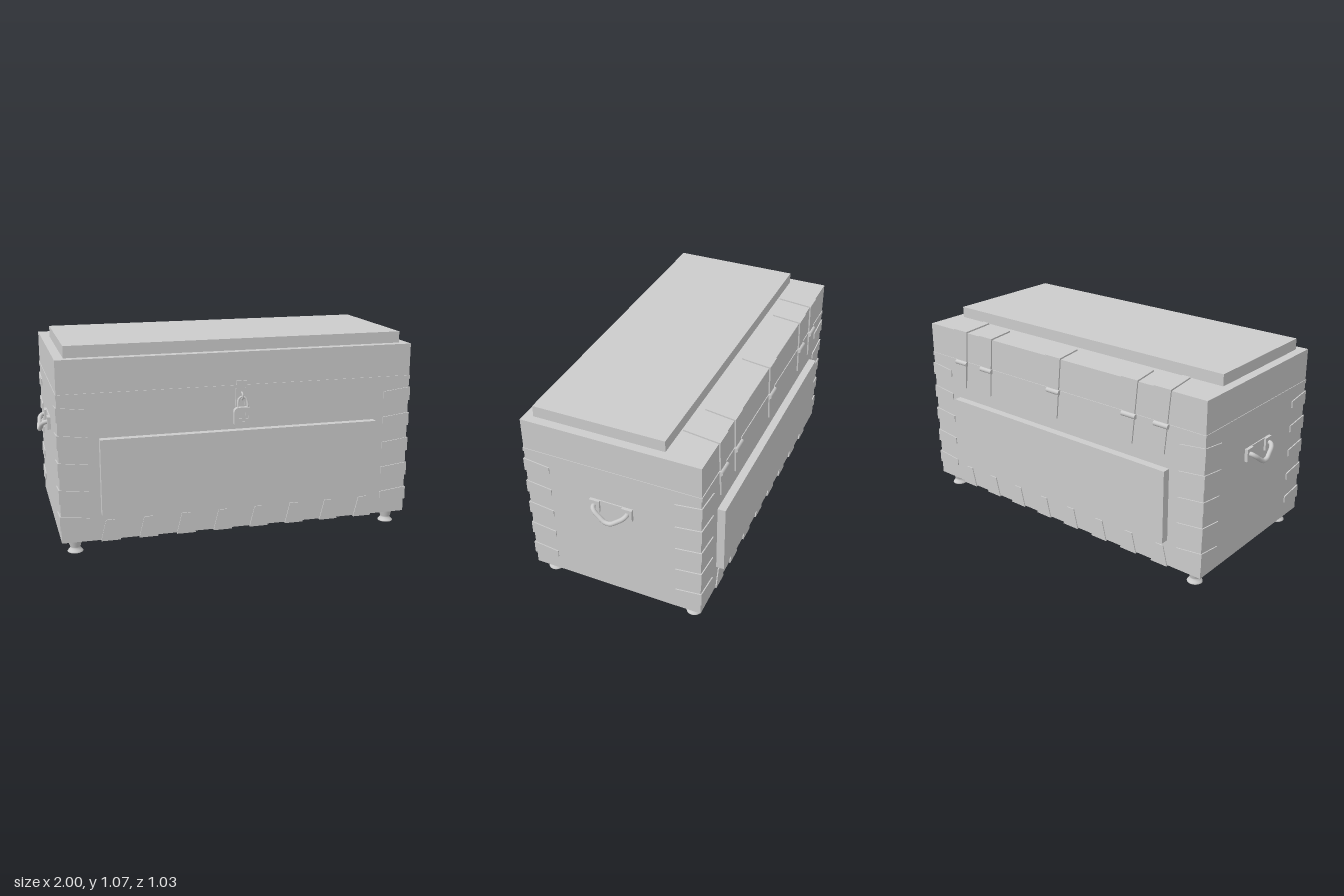
import * as THREE from 'three';

const W = 0.937, D = 0.47, Y0 = 0.07, Y1 = 1.005;   // half width, half depth, floor, lid top
const mat = new THREE.MeshStandardMaterial({ color: 0xcccccc });
const V = (x, y, z) => new THREE.Vector3(x, y, z);

export function createModel() {
  const chest = new THREE.Group();
  chest.name = 'chest';

  const add = (name, geo, parent = chest) => {
    const mesh = new THREE.Mesh(geo, mat);
    mesh.name = name;
    parent.add(mesh);
    return mesh;
  };
  // box given by its minimum and maximum on each axis
  const box = (name, x0, x1, y0, y1, z0, z1, parent) => {
    const m = add(name, new THREE.BoxGeometry(x1 - x0, y1 - y0, z1 - z0), parent);
    m.position.set((x0 + x1) / 2, (y0 + y1) / 2, (z0 + z1) / 2);
    return m;
  };
  // tapered plate lying on a face: starts at an edge, runs along dir, raised along normal
  const arm = (name, start, dir, normal, w0, w1, len, t, parent) => {
    const s = new THREE.Shape([
      new THREE.Vector2(-t, -w0 / 2), new THREE.Vector2(len, -w1 / 2),
      new THREE.Vector2(len, w1 / 2), new THREE.Vector2(-t, w0 / 2)]);
    const m = add(name, new THREE.ExtrudeGeometry(s, { depth: t, bevelEnabled: false }), parent);
    const side = new THREE.Vector3().crossVectors(normal, dir);
    m.applyMatrix4(new THREE.Matrix4().makeBasis(dir, side, normal).setPosition(start));
  };

  // Body, lid and raised panels
  box('body', -W, W, Y0, 0.82, -D, D);
  box('lid', -W, W, 0.82, Y1, -D, D);
  box('lidRim', -W - 0.003, W + 0.003, 0.815, 0.835, -D - 0.004, D + 0.004);
  box('topPanel', -0.89, 0.89, Y1 - 0.01, 1.065, -0.27, 0.423);
  box('frontPanel', -0.735, 0.735, 0.212, 0.605, D - 0.01, 0.51);
  box('backPanel', -0.735, 0.735, 0.212, 0.605, -0.512, -D + 0.01);

  // Corner brackets wrapping each vertical edge
  for (const sx of [-1, 1]) for (const sz of [-1, 1]) for (let i = 0; i < 5; i++) {
    const g = new THREE.Group();
    g.name = 'cornerBracket';
    chest.add(g);
    const p = V(sx * W, 0.175 + i * 0.14, sz * D);
    arm('sideArm', p, V(0, 0, -sz), V(sx, 0, 0), 0.073, 0.037, 0.135, 0.006, g);
    arm('faceArm', p, V(-sx, 0, 0), V(0, 0, sz), 0.073, 0.037, 0.145, 0.006, g);
  }

  // Straps wrapping the lower long edges
  for (const sz of [-1, 1]) for (let i = 0; i < 8; i++) {
    const g = new THREE.Group();
    g.name = 'bottomStrap';
    chest.add(g);
    const p = V(-0.69 + i * 1.38 / 7, Y0, sz * D);
    arm('faceArm', p, V(0, 1, 0), V(0, 0, sz), 0.1, 0.045, 0.105, 0.006, g);
    arm('underArm', p, V(0, 0, -sz), V(0, -1, 0), 0.1, 0.045, 0.19, 0.006, g);
  }

  // Hinges: strap over the lid's back edge and a knuckle at the seam
  for (const x of [-0.69, -0.495, 0, 0.495, 0.69]) {
    const g = new THREE.Group();
    g.name = 'hinge';
    chest.add(g);
    const p = V(x, Y1, -D);
    arm('topStrap', p, V(0, 0, 1), V(0, 1, 0), 0.1, 0.045, Math.abs(x) > 0.6 ? 0.19 : 0.16, 0.008, g);
    arm('backStrap', p, V(0, -1, 0), V(0, 0, -1), 0.1, 0.035, 0.33, 0.008, g);
    const k = add('knuckle', new THREE.CylinderGeometry(0.013, 0.013, 0.085, 16), g);
    k.rotation.z = Math.PI / 2;
    k.position.set(x, 0.825, -D - 0.009);
  }

  // Turned feet
  const foot = new THREE.LatheGeometry([
    [0, 0], [0.04, 0], [0.04, 0.003], [0.035, 0.01], [0.025, 0.02],
    [0.027, 0.028], [0.033, 0.05], [0.038, 0.068], [0.038, 0.074], [0, 0.074]
  ].map(([x, y]) => new THREE.Vector2(x, y)), 24);
  for (const sx of [-1, 1]) for (const sz of [-1, 1])
    add('foot', foot).position.set(sx * 0.865, 0, sz * 0.406);

  // Side handles: mounting plate, two lugs and a drooping grip
  for (const s of [-1, 1]) {
    const g = new THREE.Group();
    g.name = s > 0 ? 'leftHandle' : 'rightHandle';
    g.rotation.y = s > 0 ? 0 : Math.PI;
    chest.add(g);
    box('plate', W - 0.01, 0.943, 0.573, 0.64, -0.115, 0.115, g);
    for (const q of [-1, 1])
      box('lug', W, 0.954, 0.573, 0.64, q * 0.0875 - 0.0275, q * 0.0875 + 0.0275, g);
    const path = new THREE.CatmullRomCurve3([
      [0.94, 0.61, 0.09], [0.965, 0.609, 0.089], [0.978, 0.597, 0.076], [0.984, 0.573, 0.045],
      [0.988, 0.555, 0.016], [0.988, 0.555, -0.016], [0.984, 0.573, -0.045],
      [0.978, 0.597, -0.076], [0.965, 0.609, -0.089], [0.94, 0.61, -0.09]
    ].map(p => V(...p)));
    add('grip', new THREE.TubeGeometry(path, 48, 0.012, 12), g);
  }

  // Hasp: plates on lid and body, with a staple
  const lock = new THREE.Group();
  lock.name = 'lockSet';
  chest.add(lock);
  box('haspTop', -0.028, 0.028, 0.815, 0.857, D, 0.479, lock);
  box('haspPlate', -0.034, 0.034, 0.69, 0.815, D, 0.476, lock);
  for (const s of [-1, 1])
    box('haspSide', s * 0.024 - 0.008, s * 0.024 + 0.008, 0.73, 0.82, 0.474, 0.481, lock);
  const staple = add('staple', new THREE.TorusGeometry(0.018, 0.005, 8, 20), lock);
  staple.rotation.y = Math.PI / 2;
  staple.position.set(0, 0.778, 0.478);

  // Padlock body with a cross-shaped keyhole, and its shackle
  const r = 0.018, w = 0.05, b = 0.625, t = 0.725;
  const shape = new THREE.Shape();
  shape.moveTo(-w + r, b);
  shape.lineTo(w - r, b);
  shape.quadraticCurveTo(w, b, w, b + r);
  shape.lineTo(w, t - 0.03);
  shape.quadraticCurveTo(w, t, w - 0.03, t);
  shape.lineTo(-w + 0.03, t);
  shape.quadraticCurveTo(-w, t, -w, t - 0.03);
  shape.lineTo(-w, b + r);
  shape.quadraticCurveTo(-w, b, -w + r, b);
  const back = add('padlockBack', new THREE.ExtrudeGeometry(shape, { depth: 0.018, bevelEnabled: false }), lock);
  back.position.z = 0.487;
  const a = 0.008, c = 0.025;
  const cross = [[a, c], [a, a], [c, a], [c, -a], [a, -a], [a, -c],
    [-a, -c], [-a, -a], [-c, -a], [-c, a], [-a, a], [-a, c]];
  const face = shape.clone();
  face.holes.push(new THREE.Path(cross.map(([x, y]) => new THREE.Vector2(x, y + 0.674))));
  const front = add('padlockFace', new THREE.ExtrudeGeometry(face, { depth: 0.008, bevelEnabled: false }), lock);
  front.position.z = 0.505;
  const bow = new THREE.CatmullRomCurve3([
    [-0.025, 0.715, 0.499], [-0.025, 0.745, 0.492], [-0.018, 0.766, 0.487], [0, 0.775, 0.485],
    [0.018, 0.766, 0.487], [0.025, 0.745, 0.492], [0.025, 0.715, 0.499]
  ].map(p => V(...p)));
  add('shackle', new THREE.TubeGeometry(bow, 32, 0.006, 10), lock);

  return chest;
}
